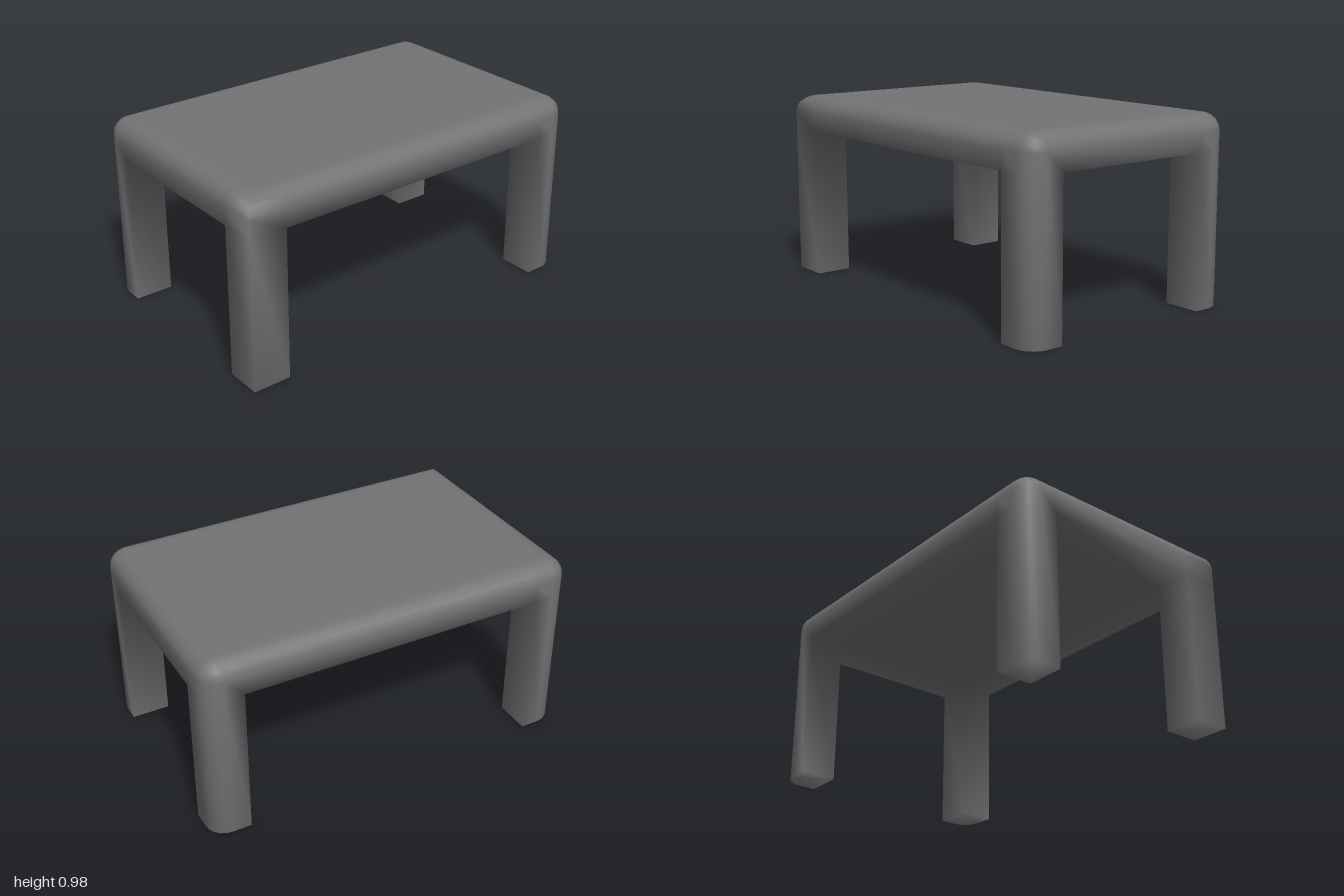
import * as THREE from 'three';
import { mergeVertices } from 'three/addons/utils/BufferGeometryUtils.js';

const HALF_X = 0.63, HALF_Z = 1, TOP = 0.975, UNDER = 0.79;
const R = 0.1, RISE = 0.09;          // edge rounding, sideways and upwards
const INNER_X = 0.44, INNER_Z = 0.8; // inner faces of the legs
const STEPS = 5;

// Corners in order round the top; the front left one keeps a square vertical edge.
const corners = [
  { name: 'frontLeftLeg', sx: 1, sz: 1, square: true },
  { name: 'frontRightLeg', sx: -1, sz: 1 },
  { name: 'backRightLeg', sx: -1, sz: -1 },
  { name: 'backLeftLeg', sx: 1, sz: -1 },
];

const innerPoint = (k, y) => new THREE.Vector3(corners[k].sx * INNER_X, y, corners[k].sz * INNER_Z);

// Outer outline of one corner, from one leg face to the other, rounded by r.
function cornerPoints(k, r, y) {
  const { sx, sz, square } = corners[k];
  const cx = sx * (HALF_X - R), cz = sz * (HALF_Z - R);
  const ends = [[cx + sx * r, sz * INNER_Z], [sx * INNER_X, cz + sz * r]];
  if (k % 2) ends.reverse();
  const arc = square ? [[cx + sx * r, cz + sz * r]]
    : Array.from({ length: STEPS + 1 }, (_, i) => {
      const t = (k + i / STEPS) * Math.PI / 2;
      return [cx + r * Math.cos(t), cz + r * Math.sin(t)];
    });
  return [ends[0], ...arc, ends[1]].map(([x, z]) => new THREE.Vector3(x, y, z));
}

// Adds a triangle to a list of coordinates, skipping collapsed ones.
function tri(pos, a, b, c) {
  const area = b.clone().sub(a).cross(c.clone().sub(a)).length();
  if (area > 1e-7) pos.push(...a, ...b, ...c);
}

function quad(pos, a, b, c, d) {
  tri(pos, a, b, c);
  tri(pos, a, c, d);
}

// Wall between two closed outlines, lower and upper.
function wall(pos, low, high) {
  low.forEach((p, i) => {
    const j = (i + 1) % low.length;
    quad(pos, p, high[i], high[j], low[j]);
  });
}

// Slab: straight side, quarter round up to the flat top, and underside between the legs.
function topTriangles() {
  const pos = [];
  const ring = (r, y) => corners.flatMap((_, k) => cornerPoints(k, r, y));
  const rings = [ring(R, UNDER)];
  for (let i = 0; i <= STEPS; i++) {
    const a = i / STEPS * Math.PI / 2;
    rings.push(ring(i === STEPS ? 0 : R * Math.cos(a), TOP - RISE * (1 - Math.sin(a))));
  }
  for (let s = 0; s + 1 < rings.length; s++) wall(pos, rings[s], rings[s + 1]);

  const rim = rings[rings.length - 1], middle = new THREE.Vector3(0, TOP, 0);
  rim.forEach((p, i) => tri(pos, middle, rim[(i + 1) % rim.length], p));

  const inner = corners.map((_, k) => innerPoint(k, UNDER));
  quad(pos, ...inner);
  for (let k = 0; k < 4; k++) {
    const next = (k + 1) % 4;
    quad(pos, inner[k], cornerPoints(k, R, UNDER).at(-1), cornerPoints(next, R, UNDER)[0], inner[next]);
  }
  return pos;
}

// Leg: walls up to the slab and a closed foot.
function legTriangles(k) {
  const pos = [];
  const outline = (y) => [innerPoint(k, y), ...cornerPoints(k, R, y)];
  const foot = outline(0);
  wall(pos, foot, outline(UNDER));
  for (let i = 1; i + 1 < foot.length; i++) tri(pos, foot[0], foot[i], foot[i + 1]);
  return pos;
}

export function createModel() {
  const group = new THREE.Group();
  group.name = 'table';
  const material = new THREE.MeshStandardMaterial({ color: 0x737373 });
  const parts = [{ name: 'tableTop', pos: topTriangles() }];
  corners.forEach((c, k) => parts.push({ name: c.name, pos: legTriangles(k) }));

  // Weld all parts so the soft shading runs on from the slab into the legs.
  const body = new THREE.BufferGeometry();
  body.setAttribute('position', new THREE.Float32BufferAttribute(parts.flatMap((p) => p.pos), 3));
  const welded = mergeVertices(body);
  welded.computeVertexNormals();

  // Each part takes its own run of triangles from the welded body.
  const index = Array.from(welded.index.array);
  let start = 0;
  for (const { name, pos } of parts) {
    const end = start + pos.length / 3;
    const piece = welded.clone().setIndex(index.slice(start, end)).toNonIndexed();
    start = end;
    const mesh = new THREE.Mesh(piece, material);
    mesh.name = name;
    group.add(mesh);
  }
  return group;
}
